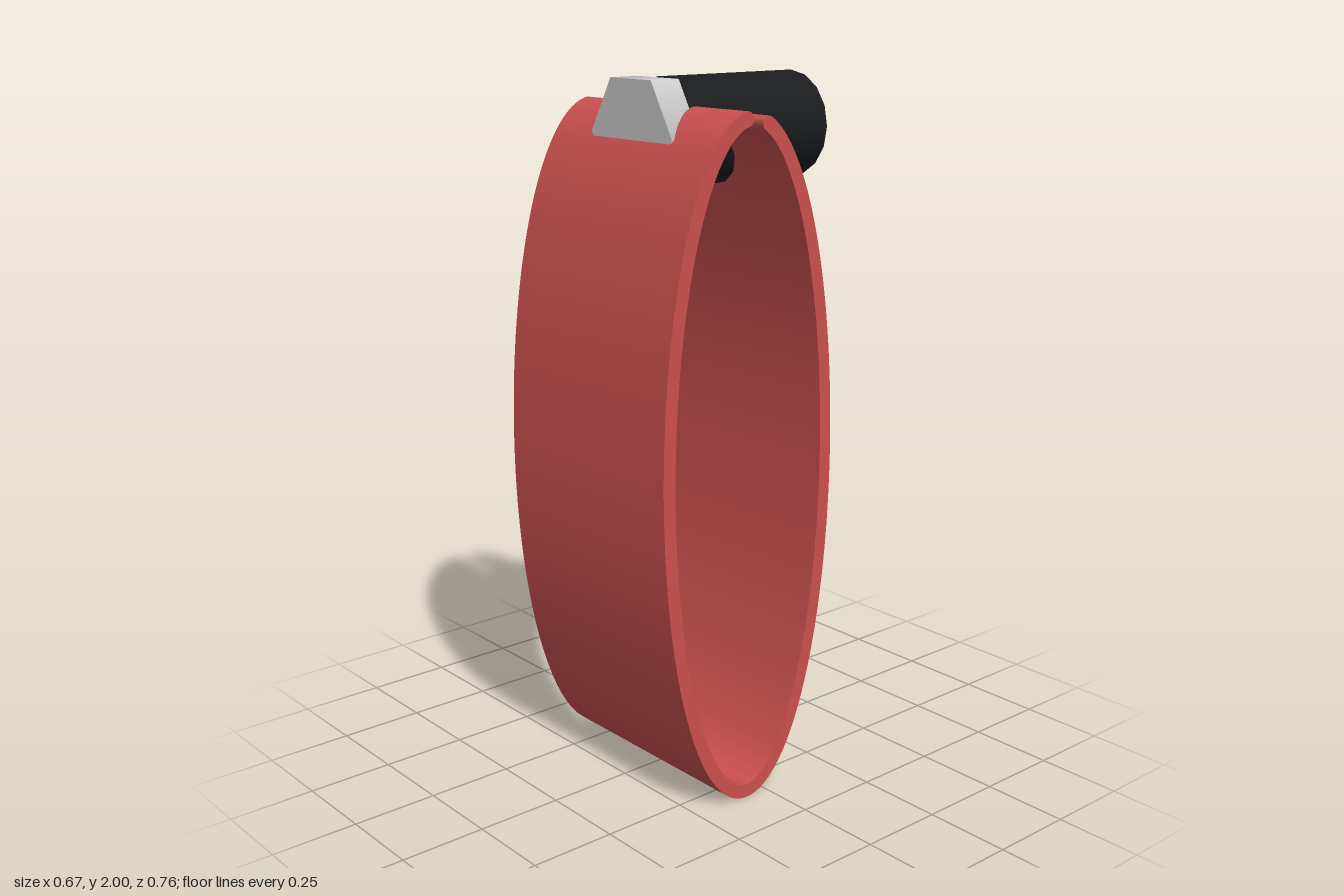
import * as THREE from 'three';
import { toCreasedNormals } from 'three/addons/utils/BufferGeometryUtils.js';

const material = (color) => new THREE.MeshStandardMaterial({ color });

// Bar lying along z, spanning zBack..zFront
function bar(name, radius, sides, zBack, zFront, turn, color) {
  const geometry = new THREE.CylinderGeometry(radius, radius, zFront - zBack, sides, 1, false, turn);
  geometry.rotateX(Math.PI / 2);
  const mesh = new THREE.Mesh(geometry, material(color));
  mesh.name = name;
  mesh.position.set(0, 1.85, (zFront + zBack) / 2);
  return mesh;
}

// Split oval band: constant thickness around an ellipse, rounded ends at the gap
function bandShape() {
  const a = 0.2835, b = 0.945, cz = 0.0725, cy = 0.965, half = 0.02;
  const start = 0.069, end = Math.PI * 2 - 0.186, steps = 160, capSteps = 10;
  const points = [];
  // Point at angle t (from the top, towards the front), swung by phi:
  // 0 = outer side, PI = inner side, in between = round end
  const add = (t, phi) => {
    const n = new THREE.Vector2(b * Math.sin(t), a * Math.cos(t)).normalize();
    n.rotateAround(new THREE.Vector2(), phi).multiplyScalar(half);
    points.push(new THREE.Vector2(-(cz + a * Math.sin(t) + n.x), cy + b * Math.cos(t) + n.y));
  };
  for (let i = 0; i <= steps; i++) add(start + (end - start) * i / steps, 0);
  for (let i = 1; i < capSteps; i++) add(end, -Math.PI * i / capSteps);
  for (let i = steps; i >= 0; i--) add(start + (end - start) * i / steps, Math.PI);
  for (let i = 1; i < capSteps; i++) add(start, Math.PI - Math.PI * i / capSteps - Math.PI * 2);
  return new THREE.Shape(points);
}

export function createModel() {
  const model = new THREE.Group();
  model.name = 'clampBand';

  const width = 0.674;
  const extruded = new THREE.ExtrudeGeometry(bandShape(), { depth: width, bevelEnabled: false, steps: 1 });
  extruded.translate(0, 0, -width / 2).rotateY(Math.PI / 2);
  const band = new THREE.Mesh(toCreasedNormals(extruded, 0.6), material(0xcc5050));
  band.name = 'band';
  model.add(band);

  // Dark round barrel behind, six-sided head in front
  model.add(bar('barrel', 0.15, 16, -0.38, 0.11, 0, 0x1a1c1e));
  model.add(bar('hexHead', 0.17, 6, 0.11, 0.205, Math.PI / 2, 0xcccccc));

  return model;
}
